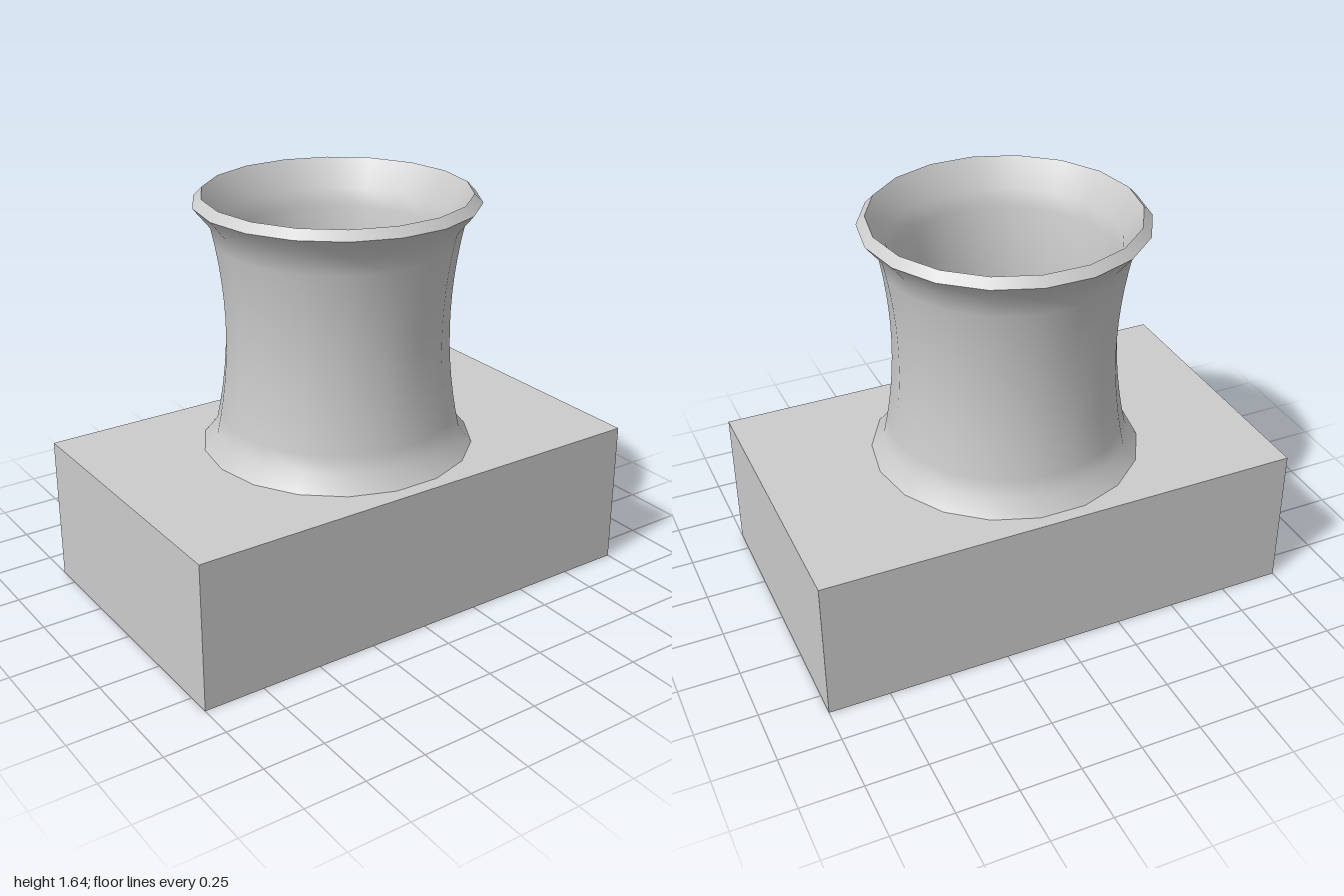
import * as THREE from 'three';

const SIDES = 18;

// Concave waist between two flared ends, listed from bottom to top
function flaredProfile(waist, shoulder, lip, lipHalfHeight) {
  const mid = 1.1, half = 0.43, steps = 12;
  const points = [new THREE.Vector2(lip, mid - lipHalfHeight)];
  for (let i = 0; i <= steps; i++) {
    const t = (i / steps) * 2 - 1;
    points.push(new THREE.Vector2(waist + (shoulder - waist) * t * t, mid + half * t));
  }
  points.push(new THREE.Vector2(lip, mid + lipHalfHeight));
  return points;
}

export function createModel() {
  const model = new THREE.Group();
  const material = new THREE.MeshStandardMaterial({ color: 0xcccccc });

  const add = (parent, name, geometry) => {
    const mesh = new THREE.Mesh(geometry, material);
    mesh.name = name;
    parent.add(mesh);
    return mesh;
  };

  // Solid block
  const base = add(model, 'base', new THREE.BoxGeometry(2, 0.605, 1.2));
  base.position.y = 0.3025;

  // Hollow waisted tube, its lower lip sunk slightly into the block
  const tube = new THREE.Group();
  tube.name = 'flaredTube';
  tube.position.set(-0.008, 0, -0.003);
  model.add(tube);

  const outer = flaredProfile(0.449, 0.497, 0.562, 0.51);
  const inner = flaredProfile(0.405, 0.455, 0.528, 0.545).reverse();
  const rim = [outer[outer.length - 1], inner[0]];
  const lathe = (points) => new THREE.LatheGeometry(points, SIDES, Math.PI / 2);

  add(tube, 'outerWall', lathe(outer));
  add(tube, 'rimBevel', lathe(rim));
  add(tube, 'innerWall', lathe(inner));

  return model;
}
